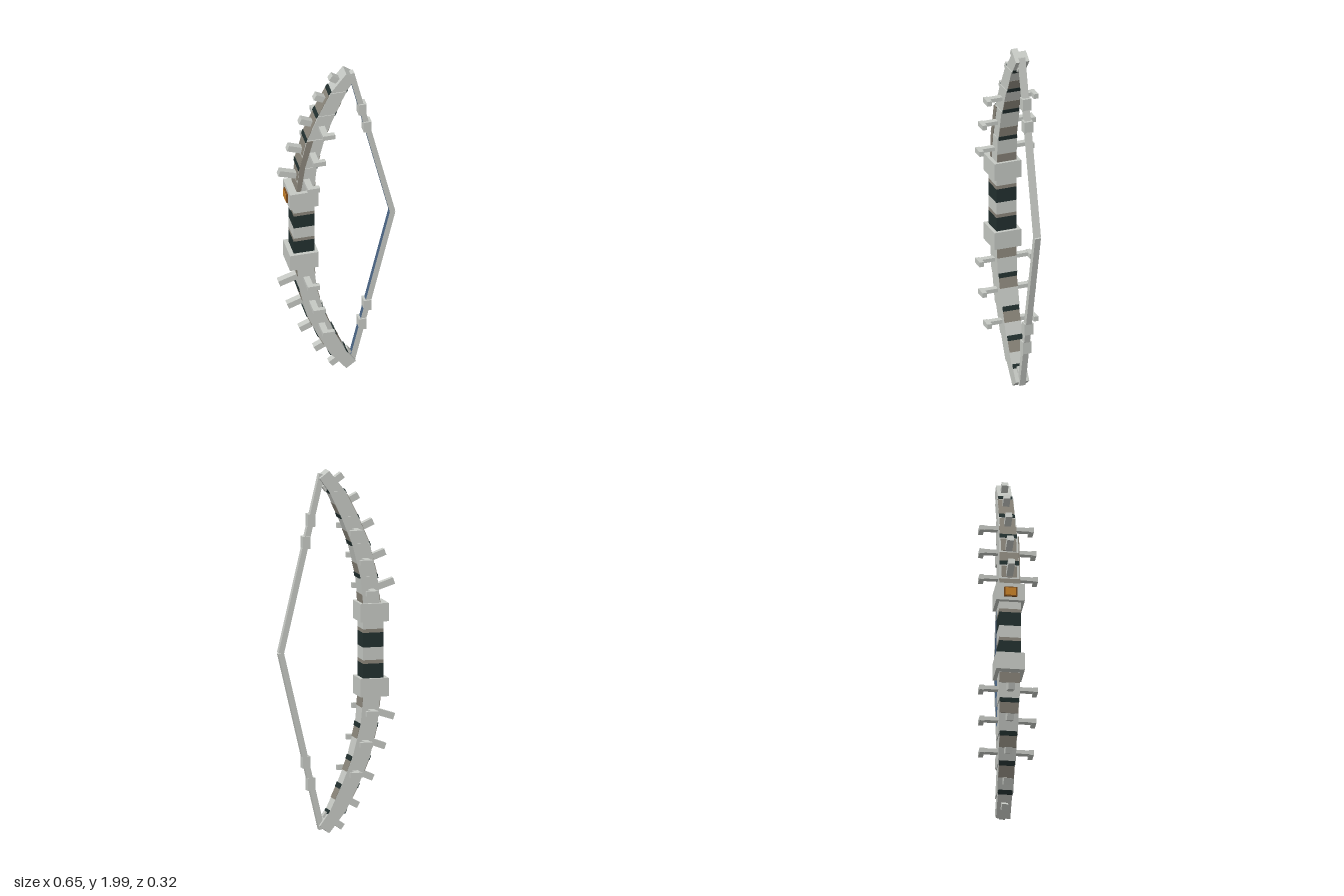
import * as THREE from 'three';

export function createModel() {
  const mat = (name, color) => {
    const m = new THREE.MeshStandardMaterial({ color });
    m.name = name;
    return m;
  };
  const bone = mat('pale bone', 0xc6c9c4);
  const taupe = mat('taupe wrap', 0x8a857a);
  const dark = mat('dark wrap', 0x22302f);
  const blue = mat('string blue', 0x4a6585);
  const orange = mat('orange inlay', 0xc8822a);
  const brown = mat('brown frame', 0x7a4a1c);

  const model = new THREE.Group();
  model.name = 'bow';

  const box = (parent, name, m, [w, h, d], [x, y, z], turn = 0) => {
    const mesh = new THREE.Mesh(new THREE.BoxGeometry(w, h, d), m);
    mesh.name = name;
    mesh.position.set(x, y, z);
    mesh.rotation.z = turn;
    parent.add(mesh);
    return mesh;
  };
  // Flat outline in x and y, thickened equally to both sides of z = 0
  const slab = (parent, name, m, pts, half) => {
    const shape = new THREE.Shape(pts.map(p => new THREE.Vector2(...p)));
    const g = new THREE.ExtrudeGeometry(shape, { depth: half * 2, bevelEnabled: false });
    g.translate(0, 0, -half);
    const mesh = new THREE.Mesh(g, m);
    mesh.name = name;
    parent.add(mesh);
    return mesh;
  };

  // Limb edges: height, outer x, inner x, half depth of the segment above
  const rows = [
    [1.24, -0.237, -0.142, 0.057],
    [1.41, -0.22, -0.125, 0.053],
    [1.59, -0.178, -0.08, 0.048],
    [1.74, -0.115, -0.02, 0.044],
    [1.88, -0.045, 0.045, 0.039],
  ];
  const edges = y => {
    let i = 0;
    while (i < rows.length - 2 && y > rows[i + 1][0]) i++;
    const a = rows[i], b = rows[i + 1];
    const t = (y - a[0]) / (b[0] - a[0]);
    return [a[1] + (b[1] - a[1]) * t, a[2] + (b[2] - a[2]) * t];
  };
  const slice = (parent, name, m, y0, y1, half, out = 0, inn = 0) => {
    const [l0, r0] = edges(y0), [l1, r1] = edges(y1);
    return slab(parent, name, m,
      [[l0 - out, y0], [r0 + inn, y0], [r1 + inn, y1], [l1 - out, y1]], half);
  };

  // One limb with its half of the string
  const limb = name => {
    const g = new THREE.Group();
    g.name = name;
    for (let i = 0; i < rows.length - 1; i++) {
      const [y, , , half] = rows[i];
      slice(g, 'limbSegment', bone, y, rows[i + 1][0], half);
      slice(g, 'taupeWrap', taupe, y + 0.012, y + 0.07, half - 0.001, 0.003, 0.003);
      if (i) slice(g, 'darkBand', dark, y - 0.012, y + 0.012, half - 0.001, 0.006, 0.006);
    }
    slab(g, 'limbTip', bone, [[-0.045, 1.88], [0.045, 1.88], [0.098, 1.955], [0.045, 1.995]], 0.039);
    slice(g, 'tipBand', dark, 1.87, 1.89, 0.0385, 0.005, 0.006);

    // Outward spikes: outer end x, y and tilt
    for (const [x, y, deg] of [[-0.035, 1.965, 35], [-0.122, 1.85, 27], [-0.205, 1.703, 24],
      [-0.273, 1.533, 20], [-0.322, 1.372, 18]]) {
      const a = -deg * Math.PI / 180;
      box(g, 'spike', bone, [0.13, 0.036, 0.036],
        [x + 0.062 * Math.cos(a), y + 0.062 * Math.sin(a), 0], a);
    }
    // Hooked side pegs
    for (const [x, y, reach] of [[-0.2, 1.33, 0.16], [-0.167, 1.5, 0.155], [-0.113, 1.665, 0.148]]) {
      box(g, 'sidePeg', bone, [0.034, 0.022, reach * 2], [x + 0.017, y, 0]);
      for (const s of [-1, 1])
        box(g, 'pegHook', bone, [0.068, 0.028, 0.026], [x + 0.034, y, s * (reach - 0.013)]);
    }
    // String with blue inner face and two beads
    const faces = [bone, blue, bone, bone, bone, bone];
    const a = new THREE.Vector2(0.309, 1.0), b = new THREE.Vector2(0.08, 1.975);
    const turn = Math.atan2(a.x - b.x, b.y - a.y);
    box(g, 'string', faces, [0.031, a.distanceTo(b), 0.034],
      [(a.x + b.x) / 2, (a.y + b.y) / 2, 0], turn);
    box(g, 'stringBead', bone, [0.044, 0.07, 0.05], [0.14, 1.725, 0]);
    box(g, 'stringBead', bone, [0.044, 0.066, 0.05], [0.168, 1.603, 0]);
    model.add(g);
    return g;
  };
  const upper = limb('upperLimb');
  const lower = limb('lowerLimb');
  lower.rotation.x = Math.PI;
  lower.position.y = 2;

  // Worn strip along the front and outer side of the upper limb
  const strip = slab(upper, 'wornStrip', taupe,
    [[-0.238, 1.25], [-0.215, 1.25], [-0.19, 1.42], [-0.145, 1.59], [-0.18, 1.59], [-0.223, 1.41]], 0.002);
  strip.position.z = 0.0565;
  for (const [y0, y1] of [[1.32, 1.39], [1.49, 1.57], [1.66, 1.72], [1.81, 1.865]])
    slice(upper, 'outerWrap', taupe, y0, y1, 0.042, 0.003, -0.02);

  // Wrapped grip, listed from top to bottom
  for (const [m, y0, y1] of [[bone, 1.12, 1.17], [taupe, 1.1, 1.12], [dark, 1.02, 1.1],
    [bone, 0.95, 1.02], [taupe, 0.93, 0.95], [dark, 0.84, 0.93]])
    box(model, 'gripWrap', m, [0.115, y1 - y0, 0.118], [-0.197, (y0 + y1) / 2, 0]);

  // Collars at both ends of the grip
  for (const y of [1.212, 0.8]) box(model, 'collar', bone, [0.16, 0.1, 0.156], [-0.2, y, 0]);

  // Inlay on the outer side of the upper collar
  box(model, 'inlayFrame', brown, [0.009, 0.056, 0.07], [-0.2845, 1.209, 0]);
  box(model, 'inlay', orange, [0.008, 0.044, 0.058], [-0.288, 1.209, 0]);

  return model;
}
